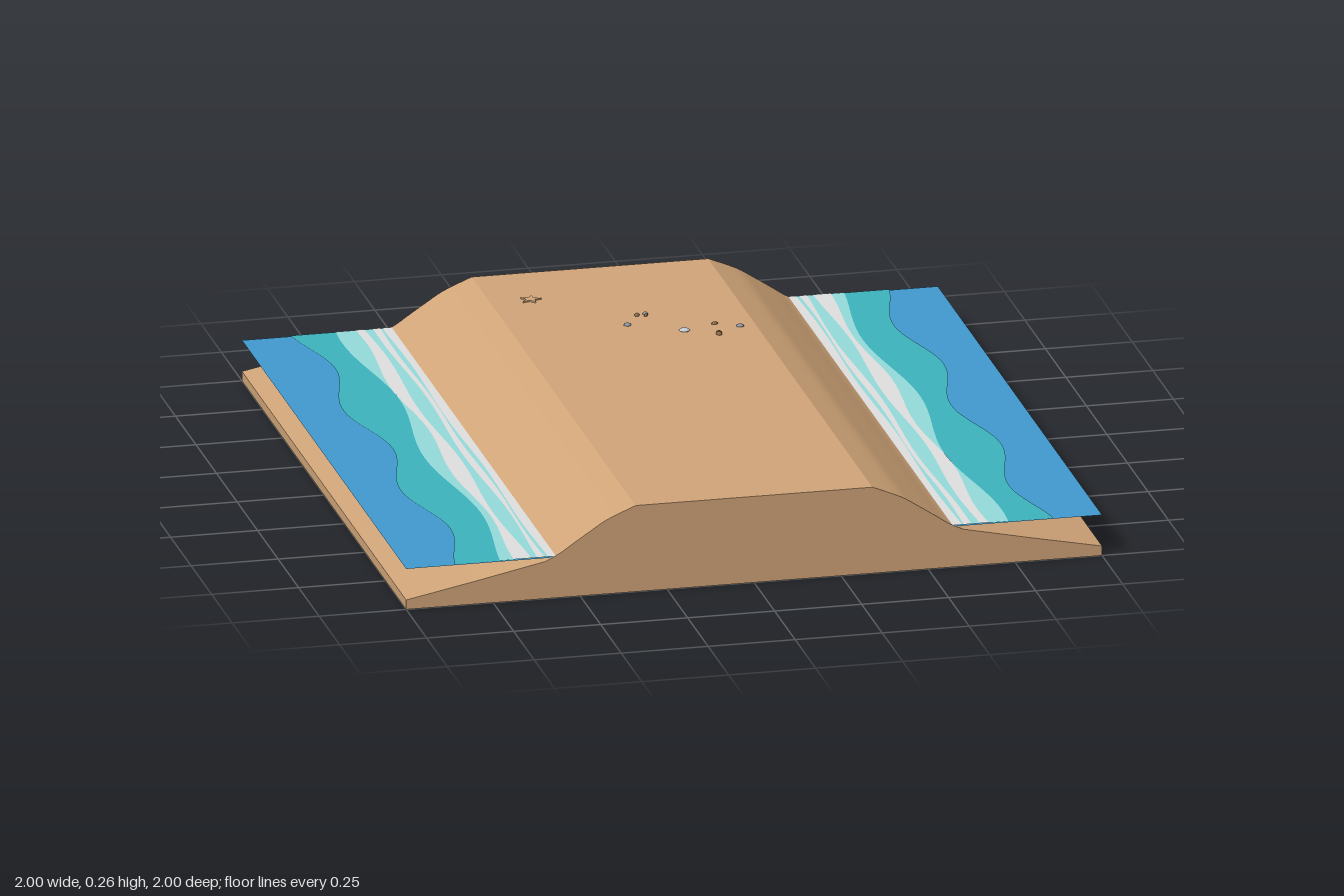
import * as THREE from 'three';

const mat = (name, color, side = THREE.FrontSide) =>
  Object.assign(new THREE.MeshStandardMaterial({ color, side }), { name });

const wave = (mid, amp, period, peak) => z => mid + amp * Math.cos((2 * Math.PI * (z - peak)) / period);
const flat = x => () => x;

// Flat strip running along z between two edge curves x = inner(z) and x = outer(z)
function bandGeometry(inner, outer, y, steps = 64) {
  const pos = [], index = [];
  for (let i = 0; i <= steps; i++) {
    const z = -1 + (2 * i) / steps;
    pos.push(inner(z), y, z, outer(z), y, z);
    if (i < steps) {
      const a = 2 * i;
      index.push(a, a + 2, a + 1, a + 1, a + 2, a + 3);
    }
  }
  const g = new THREE.BufferGeometry();
  g.setAttribute('position', new THREE.Float32BufferAttribute(pos, 3));
  g.setIndex(index);
  g.computeVertexNormals();
  return g;
}

export function createModel() {
  const model = new THREE.Group();
  model.name = 'sandIsland';

  const sand = mat('sand', 0xd2a679);
  const deep = mat('deepWater', 0x429bd2, THREE.DoubleSide);
  const shallow = mat('shallowWater', 0x3db5be, THREE.DoubleSide);
  const surf = mat('surf', 0x95dddc, THREE.DoubleSide);
  const foam = mat('foam', 0xe1e2e1, THREE.DoubleSide);
  const stone = mat('stone', 0x8a929c);
  const shell = mat('shell', 0xc4ccd4);
  const wood = mat('wood', 0x8a6540);

  const add = (parent, name, geometry, material) => {
    const m = new THREE.Mesh(geometry, material);
    m.name = name;
    parent.add(m);
    return m;
  };

  // Sand bank: symmetric cross-section run along z
  const slope = new THREE.SplineCurve([
    [0.34, 0.255], [0.42, 0.221], [0.47, 0.19], [0.52, 0.157], [0.56, 0.13], [0.6, 0.11],
  ].map(p => new THREE.Vector2(...p))).getPoints(20);
  const half = [...slope, new THREE.Vector2(0.8, 0.068), new THREE.Vector2(1, 0.028), new THREE.Vector2(1, 0)];
  const left = half.map(p => new THREE.Vector2(-p.x, p.y)).reverse();
  const bank = new THREE.ExtrudeGeometry(new THREE.Shape([...left, ...half]), { depth: 2, bevelEnabled: false });
  bank.translate(0, 0, -1);
  add(model, 'sandBank', bank, sand);

  // Water on both shores, the second one turned half round
  const layers = [
    ['deepWater', flat(0.55), flat(1), 0.12, deep],
    ['shallowWater', flat(0.685), wave(0.833, 0.03, 0.7, 0.35), 0.1225, shallow],
    ['surf', flat(0.56), wave(0.712, 0.023, 1, -0.1), 0.1235, surf],
    ['outerFoam', wave(0.648, 0.008, 0.9, 0.3), wave(0.68, 0.011, 0.75, 0.5), 0.1245, foam],
    ['middleFoam', wave(0.602, 0.004, 0.8, 0), wave(0.618, 0.007, 1, -0.1), 0.1245, foam],
    ['shoreFoam', flat(0.56), wave(0.594, 0.004, 0.9, 0.2), 0.1245, foam],
  ];
  for (const [side, turn] of [['left', 0], ['right', Math.PI]]) {
    const shore = new THREE.Group();
    shore.name = side + 'Shore';
    shore.rotation.y = turn;
    for (const [name, inner, outer, y, m] of layers) add(shore, name, bandGeometry(inner, outer, y), m);
    model.add(shore);
  }

  // Pebbles, shells and wood chips on the crest
  const top = 0.255;
  const bits = [
    ['pebble', -0.01, -0.5, 0.011, stone],
    ['woodChip', 0.035, -0.575, 0.011, wood],
    ['pebble', 0.06, -0.58, 0.008, stone],
    ['woodChip', 0.058, -0.565, 0.007, wood],
    ['shell', 0.135, -0.42, 0.016, shell],
    ['woodChip', 0.23, -0.455, 0.01, wood],
    ['woodChip', 0.222, -0.368, 0.013, wood],
    ['woodChip', 0.225, -0.38, 0.008, wood],
    ['pebble', 0.295, -0.42, 0.011, stone],
  ];
  bits.forEach(([name, x, z, r, m], i) => {
    const bit = add(model, name, new THREE.SphereGeometry(r, 8, 6), m);
    bit.position.set(x, top + 0.001, z);
    bit.scale.set(1, 0.006 / r, name === 'woodChip' ? 0.7 : 1);
    bit.rotation.y = i * 1.3;
  });

  // Starfish lying flat in the sand
  const star = new THREE.Shape(Array.from({ length: 10 }, (_, i) => {
    const r = i % 2 ? 0.013 : 0.031, a = (i * Math.PI) / 5;
    return new THREE.Vector2(r * Math.cos(a), r * Math.sin(a));
  }));
  const starfish = add(model, 'starfish', new THREE.ExtrudeGeometry(star, { depth: 0.004, bevelEnabled: false }), sand);
  starfish.rotation.x = -Math.PI / 2;
  starfish.position.set(-0.225, top, -0.77);

  return model;
}
